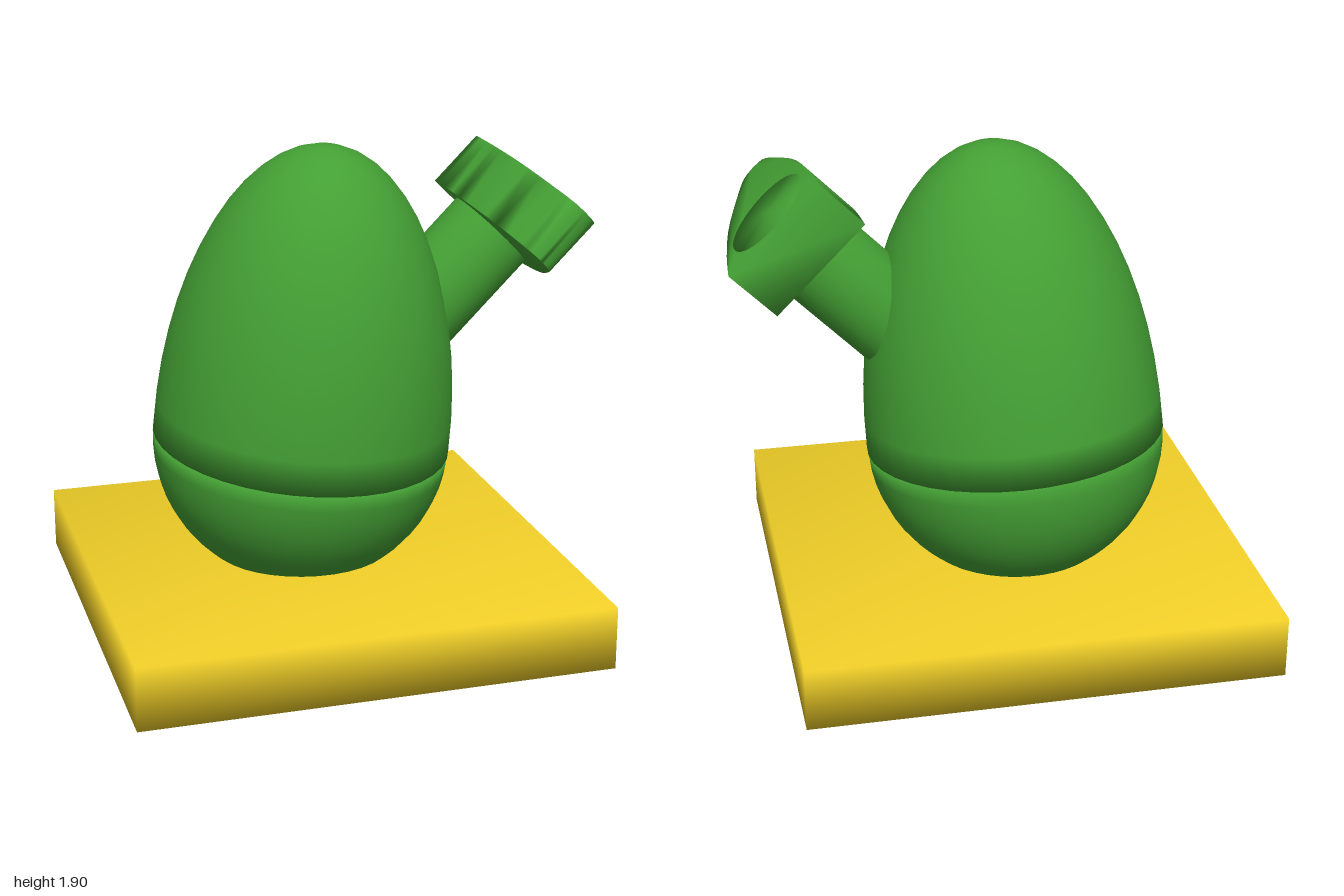
import * as THREE from 'three';
import { mergeVertices } from 'three/addons/utils/BufferGeometryUtils.js';

const green = new THREE.MeshStandardMaterial({ color: 0x44a034 });
const yellow = new THREE.MeshStandardMaterial({ color: 0xf2d028 });

// Weld all corners so the shading runs softly over every edge
function soften(geometry) {
  geometry.deleteAttribute('uv');
  geometry.deleteAttribute('normal');
  const welded = mergeVertices(geometry, 1e-4);
  welded.computeVertexNormals();
  return welded;
}

function part(name, geometry, material) {
  const mesh = new THREE.Mesh(soften(geometry), material);
  mesh.name = name;
  return mesh;
}

// Closed half ellipsoid, from polar angle a0 to a1, with a flat lid at the seam
function halfEgg(radius, height, a0, a1) {
  const rows = 14;
  const points = [];
  for (let i = 0; i <= rows; i++) {
    const a = a0 + (a1 - a0) * i / rows;
    const onAxis = Math.abs(Math.cos(a)) < 1e-6;
    points.push(new THREE.Vector2(onAxis ? 0 : radius * Math.cos(a), height * Math.sin(a)));
  }
  const lid = new THREE.Vector2(0, 0);
  if (a0 === 0) points.unshift(lid); else points.push(lid);
  return new THREE.LatheGeometry(points, 40);
}

export function createModel() {
  const model = new THREE.Group();

  // Square plinth
  const base = part('base', new THREE.BoxGeometry(1.85, 0.25, 1.85), yellow);
  base.position.set(-0.075, 0.125, 0);
  model.add(base);

  // Egg-shaped body, leaning slightly, split at the seam
  const egg = new THREE.Group();
  egg.name = 'egg';
  egg.position.set(-0.12, 0.71, -0.05);
  egg.quaternion.setFromUnitVectors(
    new THREE.Vector3(0, 1, 0), new THREE.Vector3(0.075, 1, 0.085).normalize());
  egg.add(part('lowerShell', halfEgg(0.593, 0.585, -Math.PI / 2, 0), green));
  egg.add(part('upperShell', halfEgg(0.595, 1.2, 0, Math.PI / 2), green));
  model.add(egg);

  // Side limb at 45 degrees; its origin is the middle of the outer face
  const limb = new THREE.Group();
  limb.name = 'limb';
  limb.position.set(0.825, 1.69, 0);
  limb.rotation.z = -Math.PI / 4;

  const stalk = part('stalk', new THREE.CylinderGeometry(0.185, 0.185, 0.9, 32), green);
  stalk.position.y = -0.447;
  limb.add(stalk);

  // Flat paddle with a straight back, tapering to a rounded front
  const side = new THREE.SplineCurve([
    [0.24, -0.19], [0.225, 0], [0.185, 0.22], [0.105, 0.43], [0.055, 0.525], [0, 0.545],
  ].map(([x, z]) => new THREE.Vector2(x, z))).getPoints(16);
  const mirrored = side.slice(0, -1).reverse().map((p) => new THREE.Vector2(-p.x, p.y));
  const paddle = new THREE.ExtrudeGeometry(new THREE.Shape([...side, ...mirrored]), {
    depth: 0.245, bevelEnabled: false,
  });
  paddle.rotateX(Math.PI / 2);
  limb.add(part('paddle', paddle, green));
  model.add(limb);

  return model;
}
